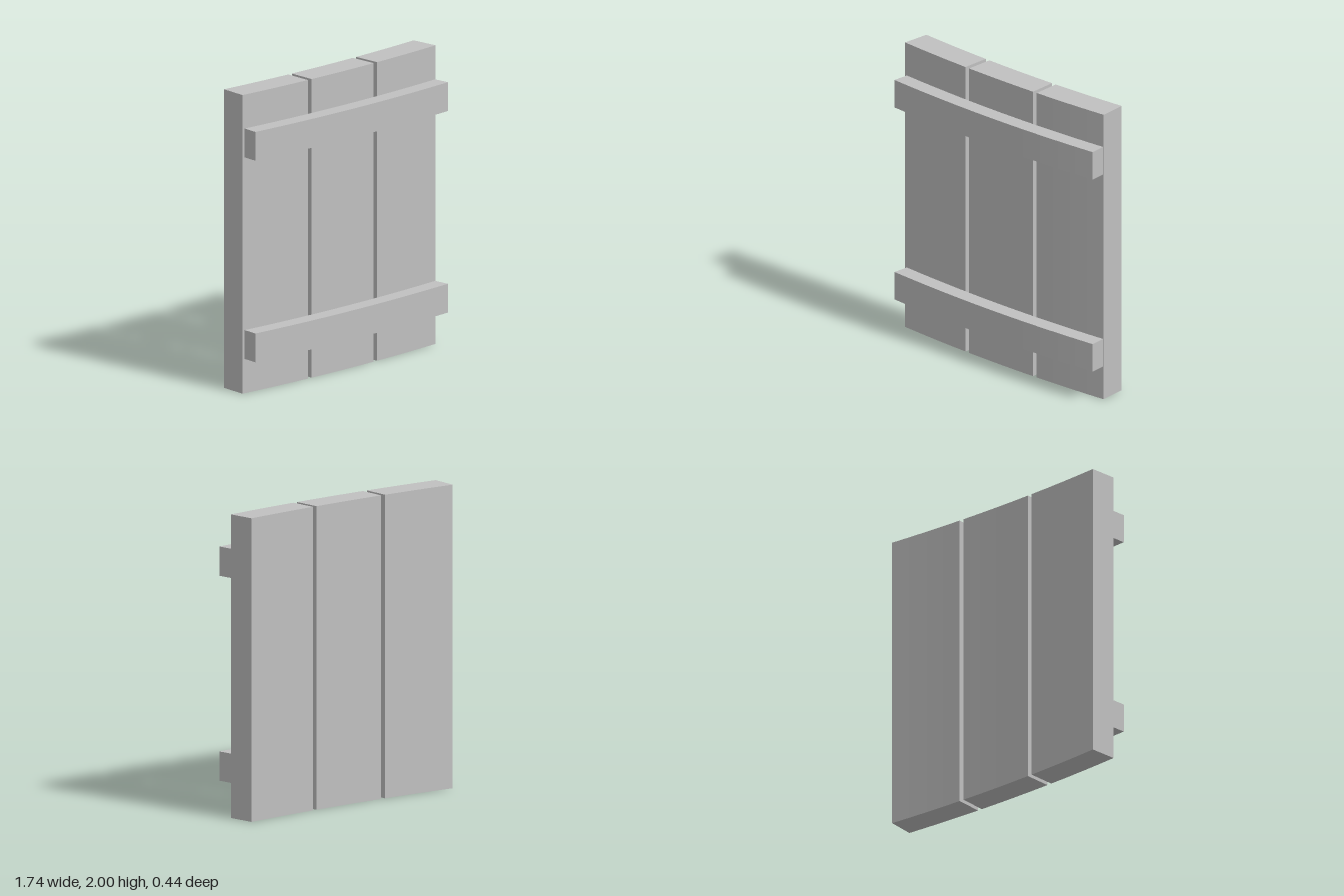
import * as THREE from 'three';

const X0 = 0.872, RADIUS = 10.7, FRONT = 0.108; // arc centre line and plank front radius
const ZC = FRONT - RADIUS;

// Curved slab: an arc sector in plan (angles measured leftwards from the +x end), extruded upwards
function arcSlab(a0, a1, rIn, rOut, y0, height, segments) {
  const points = [];
  const add = (r, a) => points.push(new THREE.Vector2(X0 - r * Math.sin(a), -(ZC + r * Math.cos(a))));
  for (let i = 0; i <= segments; i++) add(rOut, a0 + (a1 - a0) * i / segments);
  for (let i = segments; i >= 0; i--) add(rIn, a0 + (a1 - a0) * i / segments);
  const geometry = new THREE.ExtrudeGeometry(new THREE.Shape(points), { depth: height, bevelEnabled: false });
  geometry.rotateX(-Math.PI / 2);
  geometry.translate(0, y0, 0);
  return geometry;
}

export function createModel() {
  const group = new THREE.Group();
  const grey = new THREE.MeshStandardMaterial({ color: 0xc0c0c0 });
  grey.name = 'plain grey';
  const add = (name, geometry) => {
    const mesh = new THREE.Mesh(geometry, grey);
    mesh.name = name;
    group.add(mesh);
  };

  // Three upright planks with narrow gaps
  const planks = [['leftPlank', 0], ['middlePlank', 0.0555], ['rightPlank', 0.1111]];
  for (const [name, start] of planks) {
    add(name, arcSlab(start, start + 0.0525, RADIUS - 0.187, RADIUS, 0, 2, 4));
  }

  // Two curved battens across the front
  for (const [name, y] of [['lowerBatten', 0.23], ['upperBatten', 1.58]]) {
    add(name, arcSlab(0.0004, 0.162, RADIUS, RADIUS + 0.109, y, 0.193, 12));
  }
  return group;
}
